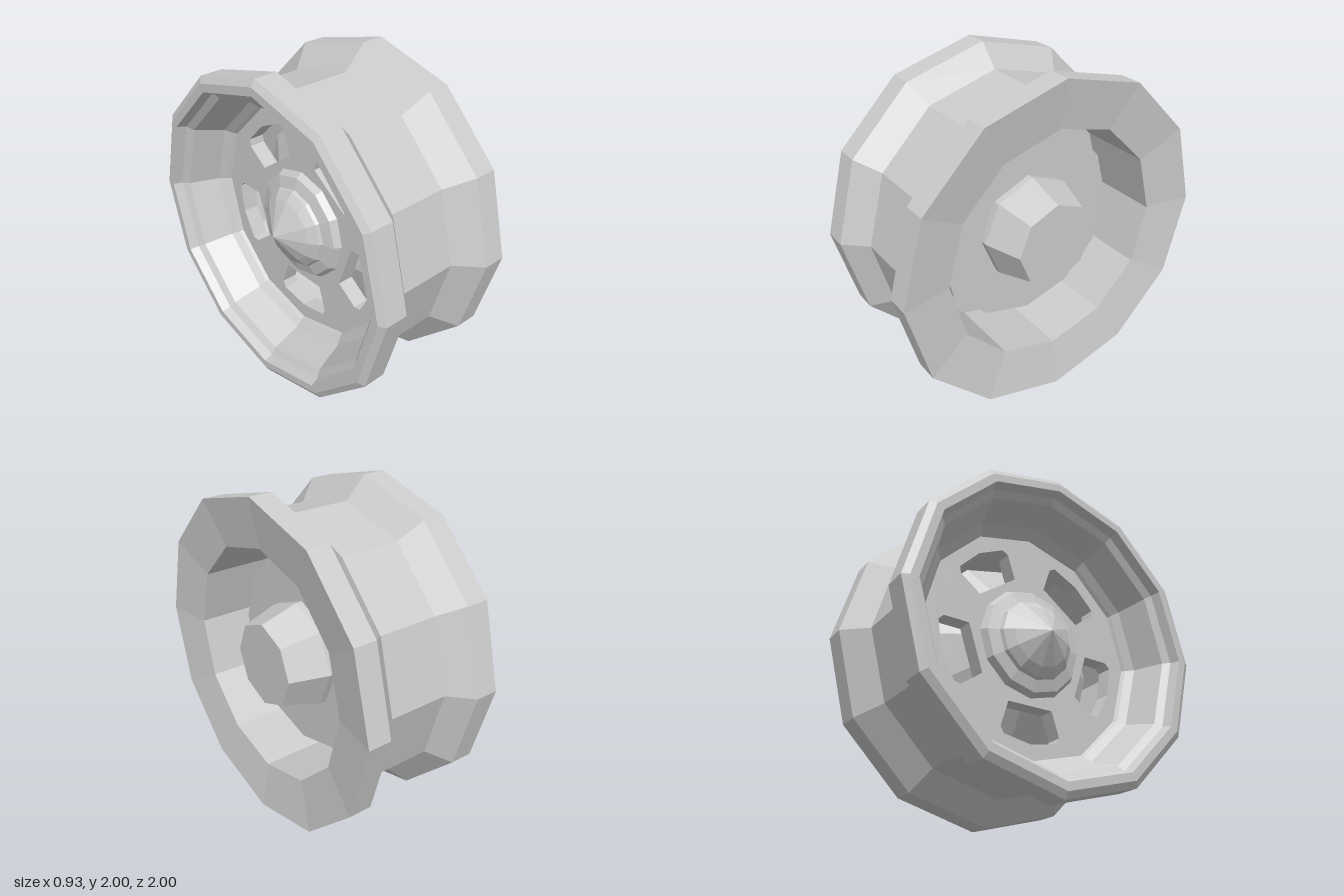
import * as THREE from 'three';

const material = new THREE.MeshStandardMaterial({ color: 0xcccccc, flatShading: true });

// Revolve [x, radius] pairs around the wheel axle (the x axis)
function revolve(name, profile, sides) {
  const points = profile.map(([x, r]) => new THREE.Vector2(r, x));
  const geometry = new THREE.LatheGeometry(points, sides);
  geometry.rotateZ(-Math.PI / 2);
  const mesh = new THREE.Mesh(geometry, material);
  mesh.name = name;
  return mesh;
}

// Web plate with five vent windows
function createWeb() {
  const corner = (r, a) => new THREE.Vector2(r * Math.sin(a), r * Math.cos(a));
  const plate = new THREE.Shape(
    Array.from({ length: 12 }, (_, i) => corner(0.73, -i * Math.PI / 6))
  );
  const vent = [[-0.15, 0.39], [0.15, 0.39], [0.2, 0.545], [0.18, 0.585], [0, 0.617], [-0.18, 0.585], [-0.2, 0.545]];
  for (let i = 0; i < 5; i++) {
    const a = Math.PI / 5 + i * Math.PI * 2 / 5;
    const points = vent.map(([u, v]) => new THREE.Vector2(u, v).rotateAround(new THREE.Vector2(), -a));
    plate.holes.push(new THREE.Path(points));
  }
  const geometry = new THREE.ExtrudeGeometry(plate, { depth: 0.1, bevelEnabled: false });
  geometry.rotateY(Math.PI / 2);
  geometry.translate(-0.14, 0, 0);
  const mesh = new THREE.Mesh(geometry, material);
  mesh.name = 'ventedWeb';
  return mesh;
}

export function createModel() {
  const wheel = new THREE.Group();
  wheel.name = 'wheelRim';

  // Rim: outer channel, dished flange, then the straight inner barrel back to the open lip
  wheel.add(revolve('rim', [
    [-0.465, 0.95], [-0.44, 0.99], [-0.3, 0.99], [-0.18, 0.86], [0.19, 0.86],
    [0.32, 1], [0.46, 1], [0.41, 0.707], [-0.13, 0.707],
    [-0.16, 0.73], [-0.2, 0.77], [-0.38, 0.84], [-0.41, 0.88], [-0.465, 0.9], [-0.465, 0.95],
  ], 12));

  wheel.add(createWeb());

  // Drum behind the web, flat on its +x side
  wheel.add(revolve('drum', [[-0.05, 0.37], [0.1, 0.605], [0.14, 0.605], [0.14, 0]], 12));

  // Axle hub on the +x side
  wheel.add(revolve('axleHub', [[0.13, 0.327], [0.18, 0.327], [0.415, 0.257], [0.415, 0]], 8));

  // Stepped hub cap with a pointed end on the -x side
  wheel.add(revolve('hubCap', [
    [-0.365, 0], [-0.26, 0.19], [-0.22, 0.24], [-0.2, 0.25], [-0.18, 0.32], [-0.13, 0.35],
  ], 12));

  wheel.position.y = 1;
  const model = new THREE.Group();
  model.name = 'model';
  model.add(wheel);
  return model;
}
